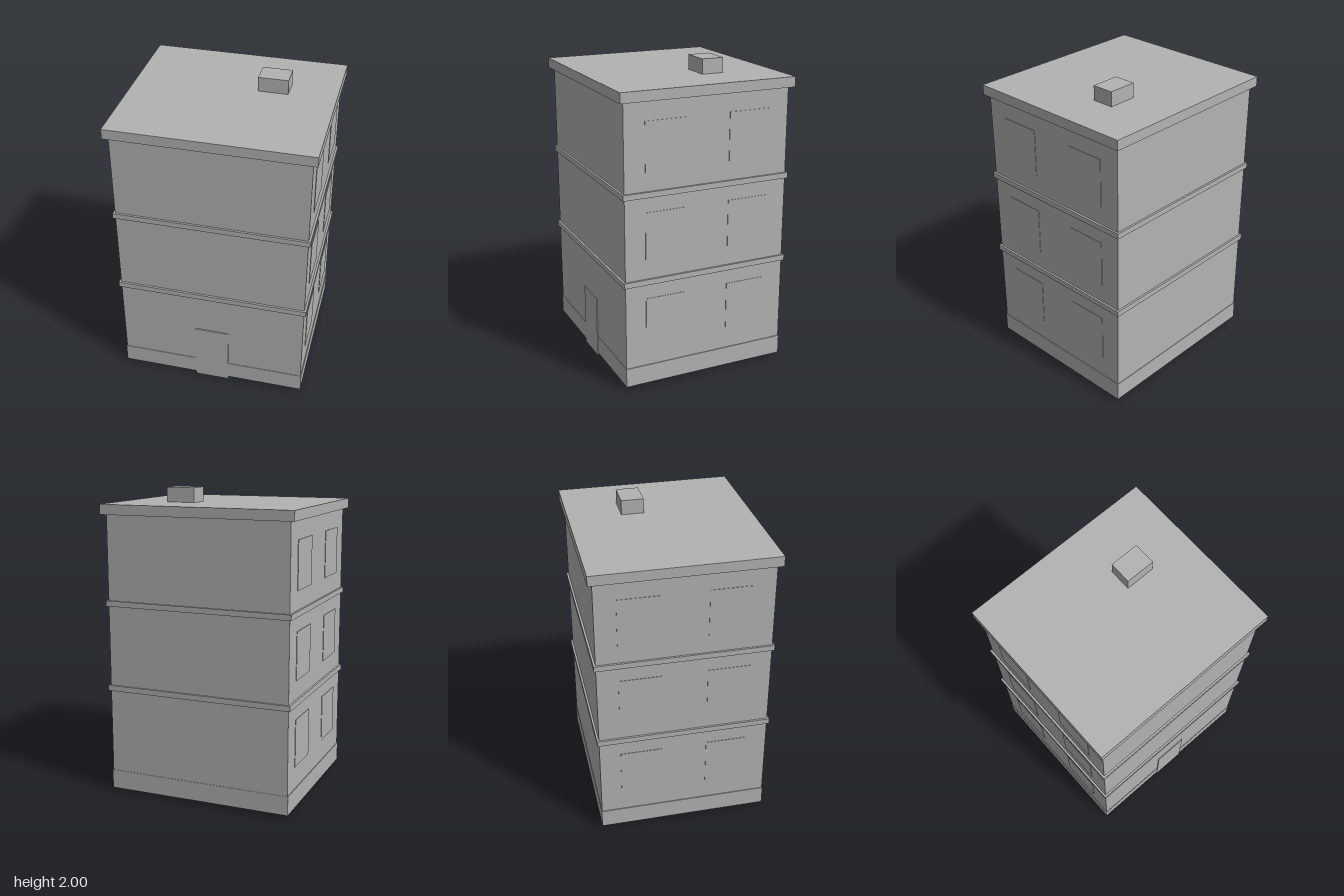
import * as THREE from 'three';

const wallGrey = new THREE.MeshStandardMaterial({ color: 0xb2b2b2, side: THREE.DoubleSide });

// Box from its size, bottom height and centre; open boxes have no underside
function block(name, w, h, d, x, y, z, open = false) {
  const geometry = new THREE.BoxGeometry(w, h, d);
  if (open) {
    const index = Array.from(geometry.index.array);
    index.splice(18, 6);
    geometry.setIndex(index);
    geometry.clearGroups();
  }
  const mesh = new THREE.Mesh(geometry, wallGrey);
  mesh.name = name;
  mesh.position.set(x, y + h / 2, z);
  return mesh;
}

export function createModel() {
  const building = new THREE.Group();
  building.name = 'building';

  // Hollow plinth and main walls
  building.add(block('plinth', 1.234, 0.125, 1.106, 0, 0.02, 0, true));
  building.add(block('walls', 1.224, 1.695, 1.1, 0, 0.145, 0));

  // Bands between the storeys
  for (const y of [0.695, 1.255]) {
    building.add(block('storeyBand', 1.25, 0.036, 1.126, 0, y, 0, true));
  }

  // Overhanging roof cap, open underneath, with a chimney
  building.add(block('roofCap', 1.284, 0.065, 1.158, 0, 1.84, 0, true));
  building.add(block('chimney', 0.192, 0.095, 0.145, 0.243, 1.905, -0.167));

  // Front door plate reaching the ground
  building.add(block('frontDoor', 0.227, 0.42, 0.006, 0, 0, 0.553));

  // Window plates, two per storey on each side wall
  for (const side of [-1, 1]) {
    for (const z of [-0.28, 0.28]) {
      for (let storey = 0; storey < 3; storey++) {
        building.add(block('window', 0.006, 0.31, 0.27, side * 0.612, 0.29 + storey * 0.56, z));
      }
    }
  }

  return building;
}
